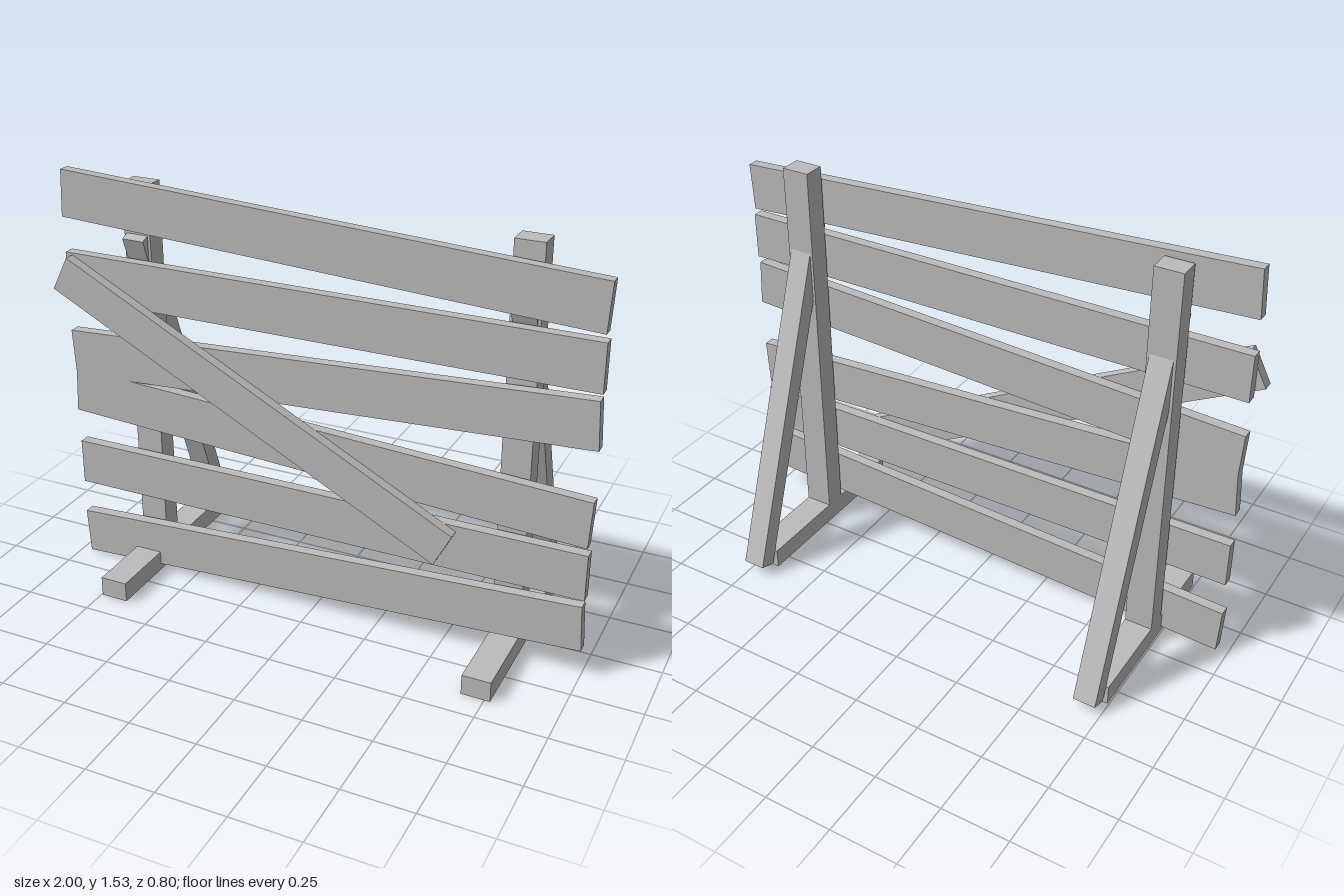
import * as THREE from 'three';

export function createModel() {
  const model = new THREE.Group();
  model.name = 'plankBarricade';
  const wood = new THREE.MeshStandardMaterial({ color: 0xbcbcbc });
  wood.name = 'greyWood';

  const beam = (name, w, h, d, x, y, z, parent = model) => {
    const mesh = new THREE.Mesh(new THREE.BoxGeometry(w, h, d), wood);
    mesh.name = name;
    mesh.position.set(x, y, z);
    parent.add(mesh);
    return mesh;
  };

  // Two stands: upright post, foot on the ground and slanted rear brace
  for (const [side, x] of [['right', -0.693], ['left', 0.719]]) {
    const stand = new THREE.Group();
    stand.name = side + 'Stand';
    stand.position.x = x;
    model.add(stand);
    beam('post', 0.103, 1.5, 0.08, 0, 0.75, 0.062, stand);
    beam('foot', 0.103, 0.075, 0.72, 0, 0.0375, 0.041, stand);
    const brace = beam('brace', 0.083, 1.369, 0.066, 0, 0.675, -0.132, stand);
    brace.rotation.x = THREE.MathUtils.degToRad(20.14);
  }

  // Six planks across the front: centre height and tilt in degrees
  const planks = [[1.395, -3.05], [1.145, 0], [0.897, 3.05], [0.645, -3.05], [0.395, 0], [0.145, 3.05]];
  planks.forEach(([y, tilt], i) => {
    const plank = beam('plank' + (i + 1), 1.96, 0.172, 0.04, 0.016, y, 0.134);
    plank.rotation.z = THREE.MathUtils.degToRad(tilt);
  });

  // Diagonal board nailed over the planks
  const diagonal = beam('diagonalBoard', 1.662, 0.139, 0.04, -0.23, 0.78, 0.174);
  diagonal.rotation.z = THREE.MathUtils.degToRad(-27.4);

  return model;
}
